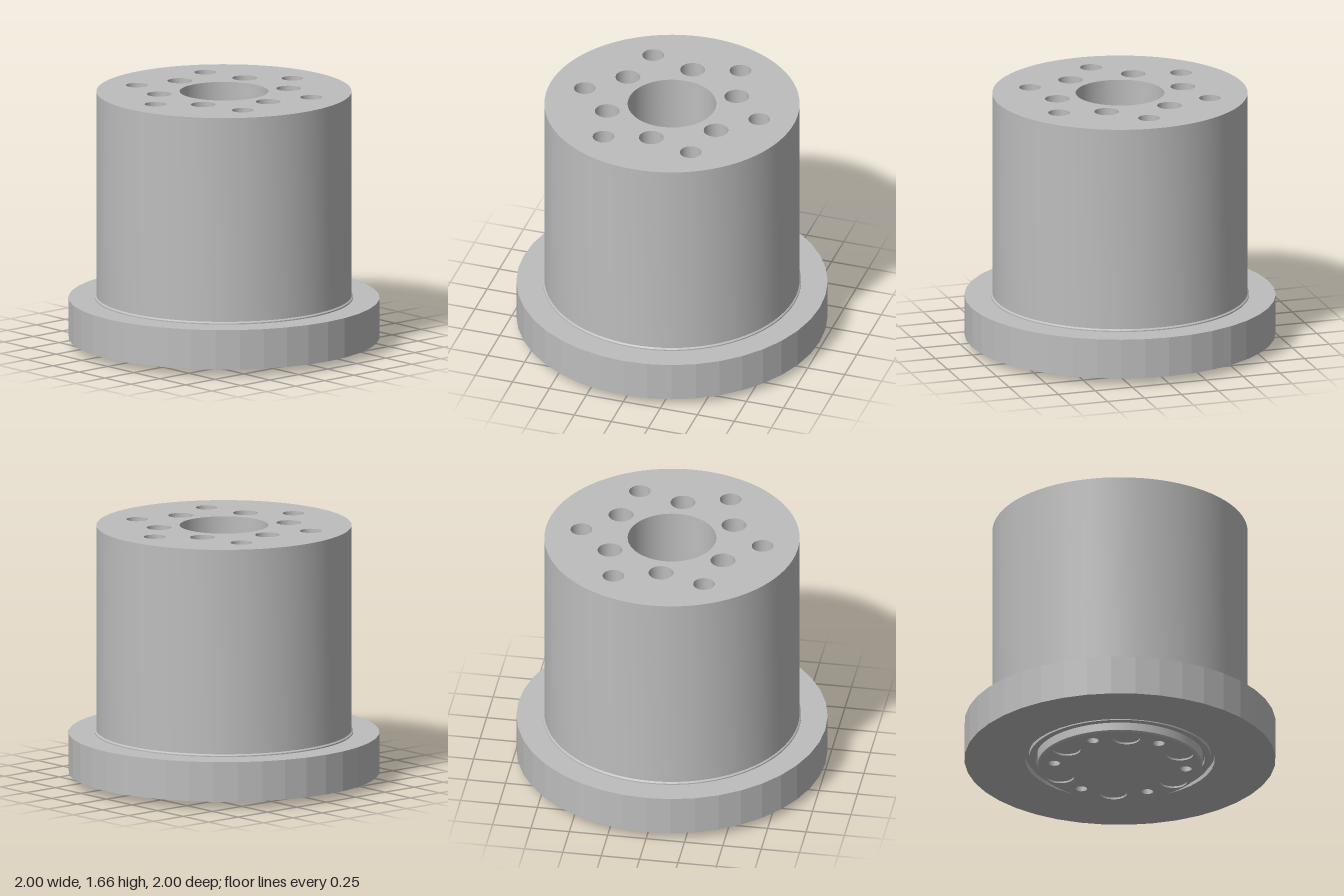
import * as THREE from 'three';
import { toCreasedNormals } from 'three/addons/utils/BufferGeometryUtils.js';

const TOP = 1.665;

export function createModel() {
  const root = new THREE.Group();
  const steel = new THREE.MeshStandardMaterial({ color: 0xbdbdbd });
  steel.name = 'grey steel';

  function add(name, geometry, x = 0, z = 0) {
    const mesh = new THREE.Mesh(geometry, steel);
    mesh.name = name;
    mesh.position.set(x, 0, z);
    root.add(mesh);
    return mesh;
  }

  // Turned surface; the profile runs with the solid on its left
  function turned(profile, sides, crease = 0.5, start = 0, sweep = Math.PI * 2) {
    const points = profile.map(([r, y]) => new THREE.Vector2(r, y));
    return toCreasedNormals(new THREE.LatheGeometry(points, sides, start, sweep), crease);
  }

  function circle(r, sides, cx = 0, cy = 0) {
    return Array.from({ length: sides }, (_, i) => {
      const a = (i / sides) * Math.PI * 2;
      return new THREE.Vector2(cx + r * Math.cos(a), cy + r * Math.sin(a));
    });
  }

  // Flat disc with round holes, facing up or down
  function disc(r, sides, holes, y, up) {
    const shape = new THREE.Shape(circle(r, sides));
    for (const h of holes) {
      shape.holes.push(new THREE.Path(circle(h.r, h.sides, h.x, up ? -h.z : h.z)));
    }
    const g = new THREE.ShapeGeometry(shape);
    g.rotateX(up ? -Math.PI / 2 : Math.PI / 2);
    return g.translate(0, y, 0);
  }

  // Six holes evenly spaced on a bolt circle
  function boltCircle(radius, r, offset) {
    return Array.from({ length: 6 }, (_, i) => {
      const a = offset + (i * Math.PI) / 3;
      return { x: radius * Math.cos(a), z: radius * Math.sin(a), r, sides: 20 };
    });
  }

  const boltHoles = boltCircle(0.425, 0.08, 0);
  const boltExits = boltCircle(0.425, 0.038, 0);
  const blindHoles = boltCircle(0.59, 0.07, Math.PI / 6);
  const pockets = boltCircle(0.42, 0.088, Math.PI / 6);
  const bore = { x: 0, z: 0, r: 0.285, sides: 48 };

  // Main cylinder with a small collar at its foot
  add('body', turned([[0.83, 0.31], [0.83, 0.318], [0.82, 0.326], [0.82, TOP]], 80));
  add('topFace', disc(0.82, 80, [bore, ...boltHoles, ...blindHoles], TOP, true));
  add('centreBore', turned([[0.285, TOP], [0.285, 0.4], [0, 0.4]], 48));

  // Stepped through holes, blind holes and shallow pockets underneath
  for (const h of boltHoles) {
    add('boltHole', turned([[h.r, TOP], [h.r, 0.31], [0.038, 0.31], [0.038, 0]], 20), h.x, h.z);
  }
  for (const h of blindHoles) {
    add('blindHole', turned([[h.r, TOP], [h.r, 1.25], [0, 1.25]], 20), h.x, h.z);
  }
  for (const h of pockets) {
    add('bottomPocket', turned([[0, 0.012], [h.r, 0.012], [h.r, 0]], 20), h.x, h.z);
  }

  // Faceted base flange
  add('flange', turned([[0.61, 0.05], [1, 0.05], [1, 0.31], [0.8, 0.31]], 40, 0.05));

  // Raised spigot on the underside, surrounded by a groove
  add('spigot', turned([[0.52, 0], [0.53, 0.01], [0.53, 0.09], [0.61, 0.09], [0.61, 0.05]], 80));
  add('spigotFace', disc(0.52, 80, [...boltExits, ...pockets], 0, false));

  // Retaining ring in the groove, open at the back, with rounded ends
  const gap = 0.09;
  add('retainingRing', turned(
    [[0.545, 0.055], [0.585, 0.055], [0.585, 0.082], [0.545, 0.082], [0.545, 0.055]],
    72, 0.5, Math.PI + gap, Math.PI * 2 - gap * 2));
  for (const side of [-1, 1]) {
    const ear = add('ringEar', new THREE.CylinderGeometry(0.028, 0.028, 0.032, 16),
      side * 0.567 * Math.sin(gap), -0.567 * Math.cos(gap));
    ear.position.y = 0.067;
  }

  return root;
}
